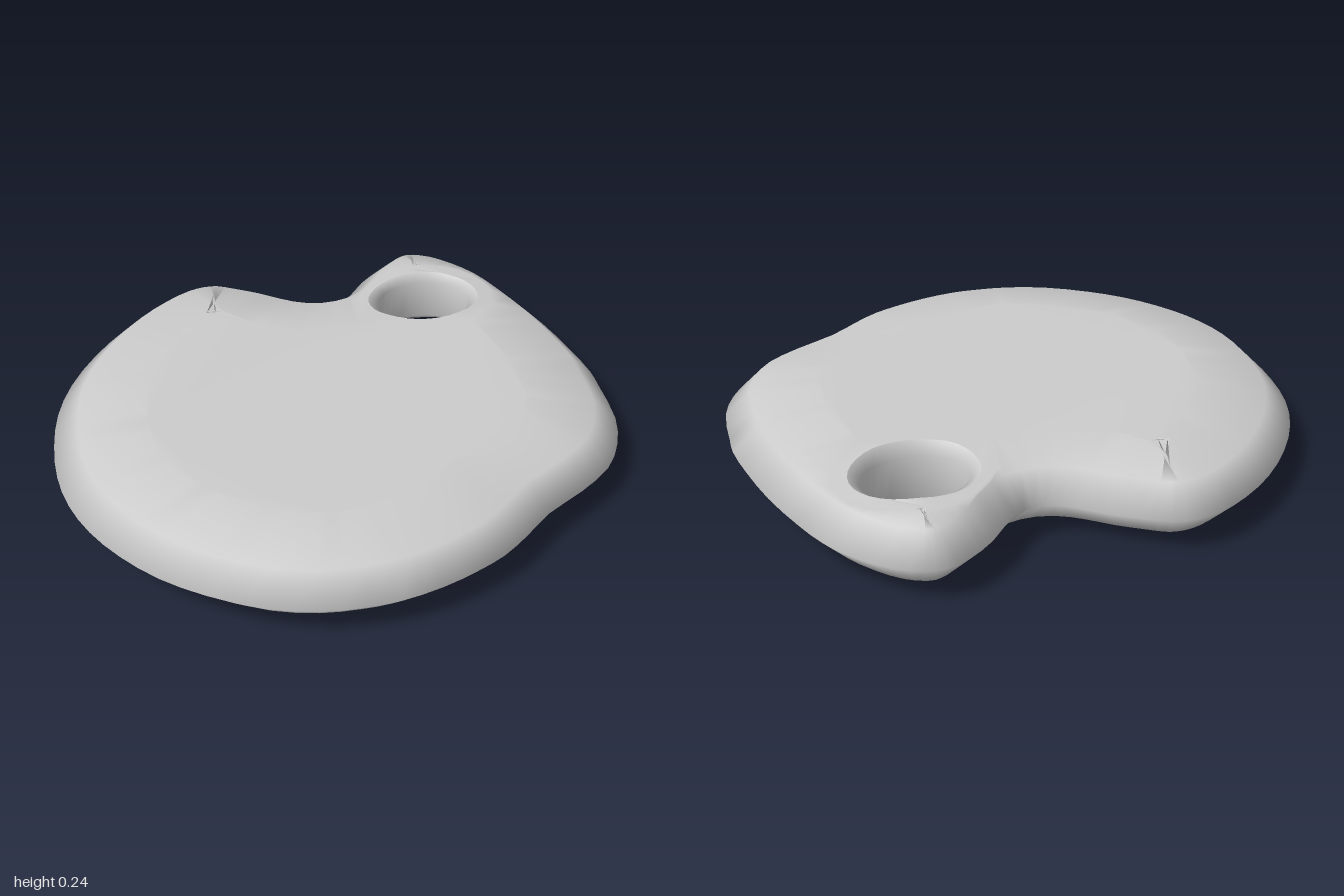
import * as THREE from 'three';

const HEIGHT = 0.24, MID = 0.12, SHOULDER = 0.21;
const HOLE = { x: 0.53, z: -0.53, rx: 0.18, rz: 0.147 };

// Control points of the outline as x, z, starting at the notch
const OUTLINE = [
  0.2, -0.715, 0.265, -0.735, 0.39, -0.86, 0.495, -0.935, 0.57, -0.96, 0.64, -0.95, 0.725, -0.9,
  0.805, -0.81, 0.875, -0.69, 0.92, -0.55, 0.965, -0.355, 0.99, -0.16, 1, 0, 0.99, 0.095,
  0.96, 0.295, 0.9, 0.435, 0.81, 0.55, 0.67, 0.64, 0.515, 0.715, 0.405, 0.795, 0.295, 0.865,
  0.18, 0.91, 0.055, 0.945, -0.09, 0.965, -0.2, 0.96, -0.345, 0.935, -0.505, 0.87, -0.665, 0.755,
  -0.785, 0.635, -0.88, 0.495, -0.95, 0.345, -0.99, 0.19, -1, 0.03, -0.98, -0.15, -0.935, -0.33,
  -0.855, -0.5, -0.735, -0.665, -0.595, -0.805, -0.46, -0.9, -0.345, -0.955, -0.255, -0.97,
  -0.17, -0.955, -0.085, -0.9, 0, -0.835, 0.07, -0.77, 0.135, -0.725,
];

const crown = (d) => SHOULDER + 0.03 * Math.min(1, Math.max(0, (d - 0.09) / 0.24));
const flip = (ring) => ring.map((p) => new THREE.Vector3(p.x, HEIGHT - p.y, p.z));
const atHeight = (ring, y) => ring.map((p) => new THREE.Vector3(p.x, y, p.z));

function outlinePoints() {
  const pts = [];
  for (let i = 0; i < OUTLINE.length; i += 2) pts.push(new THREE.Vector3(OUTLINE[i], MID, OUTLINE[i + 1]));
  return new THREE.CatmullRomCurve3(pts, true).getPoints(pts.length * 2).slice(0, -1);
}

// Moves each outline point inwards by the distance that amount(point, normal) gives
function inset(ring, amount) {
  const n = ring.length;
  return ring.map((p, i) => {
    const t = ring[(i + 1) % n].clone().sub(ring[(i + n - 1) % n]).normalize();
    const normal = new THREE.Vector3(-t.z, 0, t.x);
    const d = amount(p, normal);
    const q = p.clone().addScaledVector(normal, d);
    q.y = crown(d);
    return q;
  });
}

// Ellipse around the thumb hole, running opposite to the outline
function holeRing(grow, y, count = 32) {
  return Array.from({ length: count }, (_, i) => {
    const a = (-i / count) * Math.PI * 2;
    return new THREE.Vector3(HOLE.x + (HOLE.rx + grow) * Math.cos(a), y, HOLE.z + (HOLE.rz + grow) * Math.sin(a));
  });
}

// Joins a stack of equal rings, listed from bottom to top
function stitch(rings, index) {
  const n = rings[0].length;
  for (let r = 0; r < rings.length - 1; r++) {
    for (let i = 0; i < n; i++) {
      const j = (i + 1) % n, a = r * n, b = a + n;
      index.push(a + j, a + i, b + i, a + j, b + i, b + j);
    }
  }
}

function toGeometry(points, index) {
  const g = new THREE.BufferGeometry().setFromPoints(points);
  g.setIndex(index);
  g.computeVertexNormals();
  return g;
}

export function createModel() {
  const group = new THREE.Group();
  group.name = 'paintPalette';
  const material = new THREE.MeshStandardMaterial({ color: 0xcccccc });

  // Edge rings: sharp rim, shoulder, and crown that stops short of the hole
  const rim = outlinePoints();
  const shoulder = inset(rim, () => 0.09);
  const top = inset(rim, (p, normal) => {
    let d = 0.1;
    for (; d < 0.33; d += 0.01) {
      const x = p.x + normal.x * (d + 0.01) - HOLE.x, z = p.z + normal.z * (d + 0.01) - HOLE.z;
      if ((x / 0.27) ** 2 + (z / 0.235) ** 2 < 1) break;
    }
    return d;
  });

  // Hole edge follows the height of the crown
  const lip = holeRing(0.035, 0);
  lip.forEach((p) => {
    p.y = crown(Math.min(...rim.map((q) => Math.hypot(p.x - q.x, p.z - q.z))));
  });

  const rings = [flip(top), flip(shoulder), rim, shoulder, top];
  const index = [];
  stitch(rings, index);

  // Top and bottom faces, cut by the hole
  const n = rim.length, lipTop = n * rings.length, lipBottom = lipTop + lip.length;
  const to2D = (ring) => ring.map((p) => new THREE.Vector2(p.x, p.z));
  const flat = [...top, ...lip];
  for (const tri of THREE.ShapeUtils.triangulateShape(to2D(top), [to2D(lip)])) {
    const [a, b, c] = tri.map((i) => flat[i]);
    const up = (b.z - a.z) * (c.x - a.x) - (b.x - a.x) * (c.z - a.z) > 0;
    const [i, j, k] = up ? tri : [tri[0], tri[2], tri[1]];
    const upper = (v) => (v < n ? 4 * n + v : lipTop + v - n);
    const lower = (v) => (v < n ? v : lipBottom + v - n);
    index.push(upper(i), upper(j), upper(k), lower(i), lower(k), lower(j));
  }
  const board = new THREE.Mesh(toGeometry([...rings.flat(), ...lip, ...flip(lip)], index), material);
  board.name = 'board';

  // Thumb hole wall with a bevel at both ends
  const wall = holeRing(0, 0);
  const holeRings = [flip(lip), atHeight(wall, 0.045), atHeight(wall, HEIGHT - 0.045), lip];
  const holeIndex = [];
  stitch(holeRings, holeIndex);
  const thumbHole = new THREE.Mesh(toGeometry(holeRings.flat(), holeIndex), material);
  thumbHole.name = 'thumbHole';

  group.add(board, thumbHole);
  return group;
}
